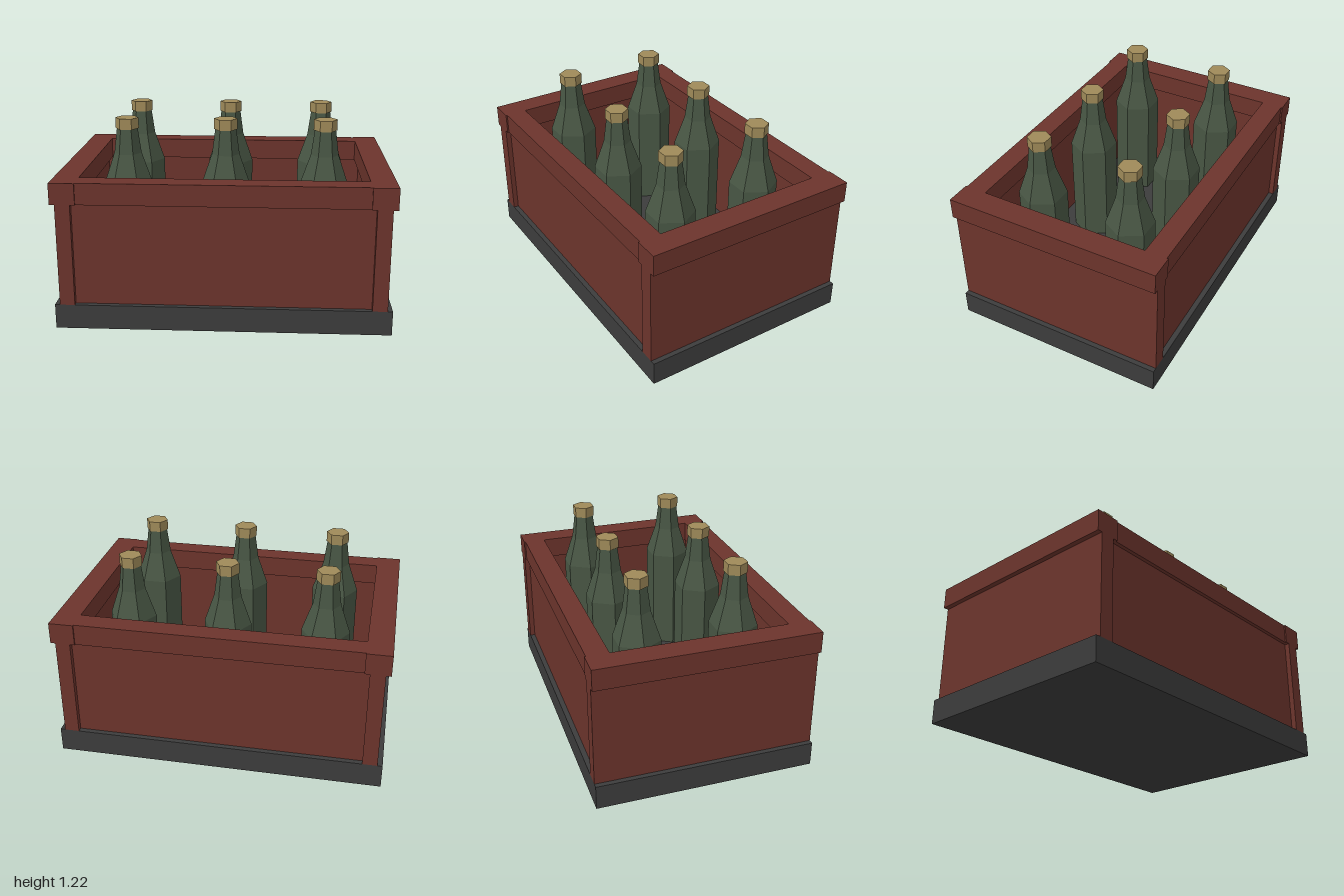
import * as THREE from 'three';

const mat = (name, color, flatShading = false) => {
  const m = new THREE.MeshStandardMaterial({ color, flatShading });
  m.name = name;
  return m;
};

export function createModel() {
  const red = mat('red wood', 0x6c342c);
  const grey = mat('dark grey', 0x3c3c3c);
  const green = mat('green glass', 0x485644, true);
  const gold = mat('dull gold', 0x9f8a59, true);

  const crate = new THREE.Group();
  crate.name = 'bottleCrate';

  // Box given by its limits on each axis
  const box = (name, material, [x0, x1], [y0, y1], [z0, z1]) => {
    const mesh = new THREE.Mesh(new THREE.BoxGeometry(x1 - x0, y1 - y0, z1 - z0), material);
    mesh.position.set((x0 + x1) / 2, (y0 + y1) / 2, (z0 + z1) / 2);
    mesh.name = name;
    crate.add(mesh);
  };
  const span = (side, a, b) => (side > 0 ? [a, b] : [-b, -a]);

  box('base', grey, [-1, 1], [0, 0.15], [-0.667, 0.667]);

  for (const s of [1, -1]) {
    const end = s > 0 ? 'left' : 'right';
    const face = s > 0 ? 'front' : 'back';
    // End walls run the full depth; the long walls sit recessed between them
    box(end + 'Wall', red, span(s, 0.88, 0.97), [0.15, 0.77], [-0.667, 0.667]);
    box(end + 'Rim', red, span(s, 0.85, 1), [0.77, 0.9], [-0.667, 0.667]);
    box(face + 'Wall', red, [-0.88, 0.88], [0.15, 0.77], span(s, 0.545, 0.635));
    box(face + 'Rim', red, [-0.85, 0.85], [0.77, 0.9], span(s, 0.527, 0.658));
  }

  // Six-sided bottles, each with a corner pointing along x
  const profile = [[0, 0.15], [0.145, 0.15], [0.145, 0.82], [0.083, 1], [0.063, 1.15], [0, 1.15]]
    .map(([r, y]) => new THREE.Vector2(r, y));
  const glassGeometry = new THREE.LatheGeometry(profile, 6, Math.PI / 6);
  const capGeometry = new THREE.CylinderGeometry(0.07, 0.07, 0.065, 6, 1, false, Math.PI / 6);

  for (const z of [-0.297, 0.297]) {
    for (const x of [-0.594, 0, 0.594]) {
      const bottle = new THREE.Group();
      bottle.name = 'bottle';
      const glass = new THREE.Mesh(glassGeometry, green);
      glass.name = 'bottleGlass';
      const cap = new THREE.Mesh(capGeometry, gold);
      cap.name = 'bottleCap';
      cap.position.y = 1.1825;
      bottle.add(glass, cap);
      bottle.position.set(x, 0, z);
      crate.add(bottle);
    }
  }
  return crate;
}
